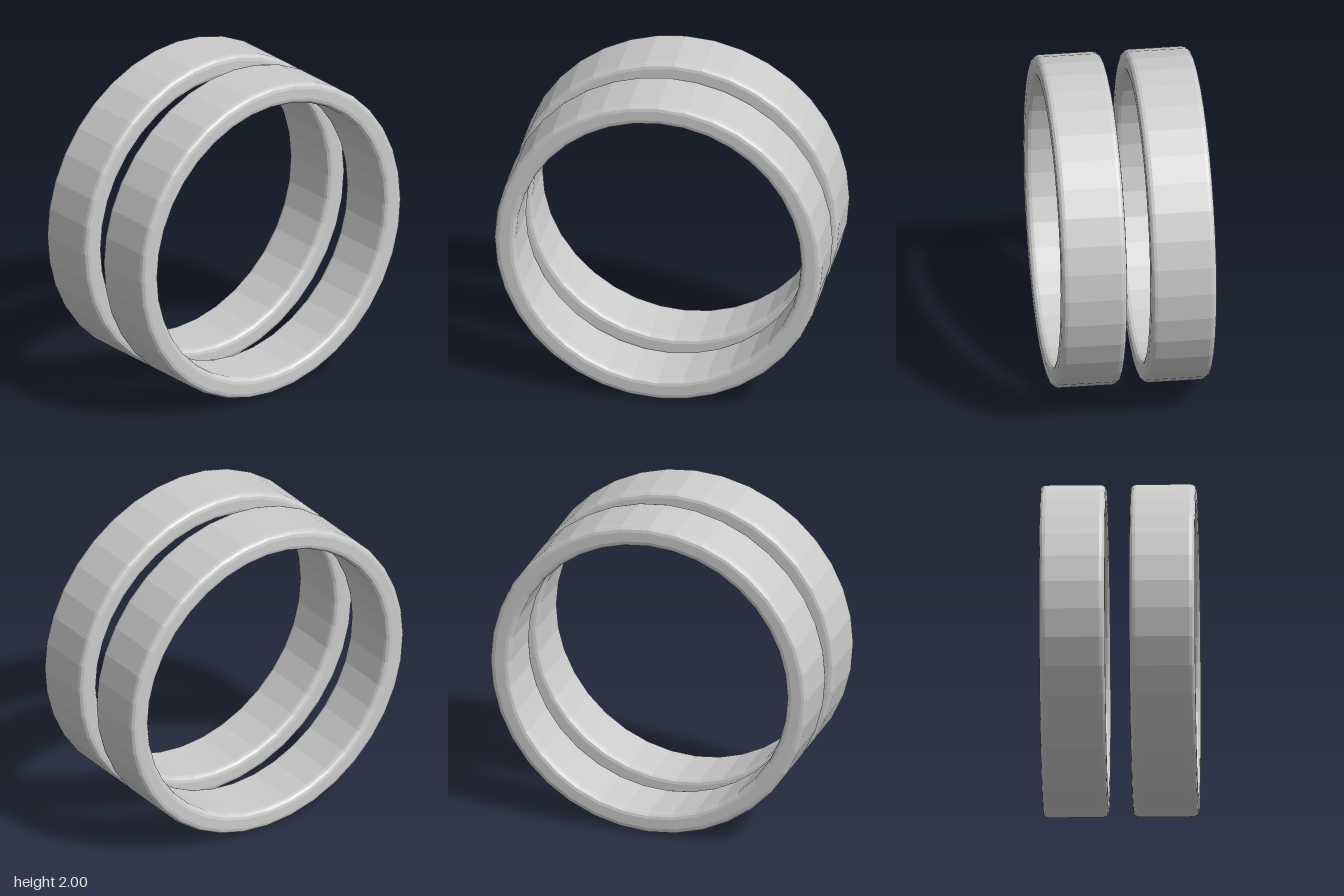
import * as THREE from 'three';

const SIDES = 36, OUTER = 1, INNER = 0.87, HALF_WIDTH = 0.197, BEVEL = 0.035, STEPS = 3;

// Closed rounded-rectangle section, counter-clockwise in (radius, axis)
function bandSection() {
  const corners = [
    [OUTER - BEVEL, -HALF_WIDTH + BEVEL, -Math.PI / 2],
    [OUTER - BEVEL, HALF_WIDTH - BEVEL, 0],
    [INNER + BEVEL, HALF_WIDTH - BEVEL, Math.PI / 2],
    [INNER + BEVEL, -HALF_WIDTH + BEVEL, Math.PI],
  ];
  const points = [];
  for (const [r, a, start] of corners) {
    for (let i = 0; i <= STEPS; i++) {
      const t = start + (i / STEPS) * Math.PI / 2;
      points.push(new THREE.Vector2(r + BEVEL * Math.cos(t), a + BEVEL * Math.sin(t)));
    }
  }
  points.push(points[0].clone());
  return points;
}

export function createModel() {
  const group = new THREE.Group();
  group.name = 'ringPair';
  const material = new THREE.MeshStandardMaterial({ color: 0xcccccc, flatShading: true });

  // Faceted band turned so its axis runs along x
  const geometry = new THREE.LatheGeometry(bandSection(), SIDES);
  geometry.rotateZ(-Math.PI / 2);

  // Two identical bands side by side
  for (const [name, side] of [['leftRing', 1], ['rightRing', -1]]) {
    const ring = new THREE.Mesh(geometry, material);
    ring.name = name;
    ring.position.set(side * 0.27, 1, 0);
    group.add(ring);
  }
  return group;
}
